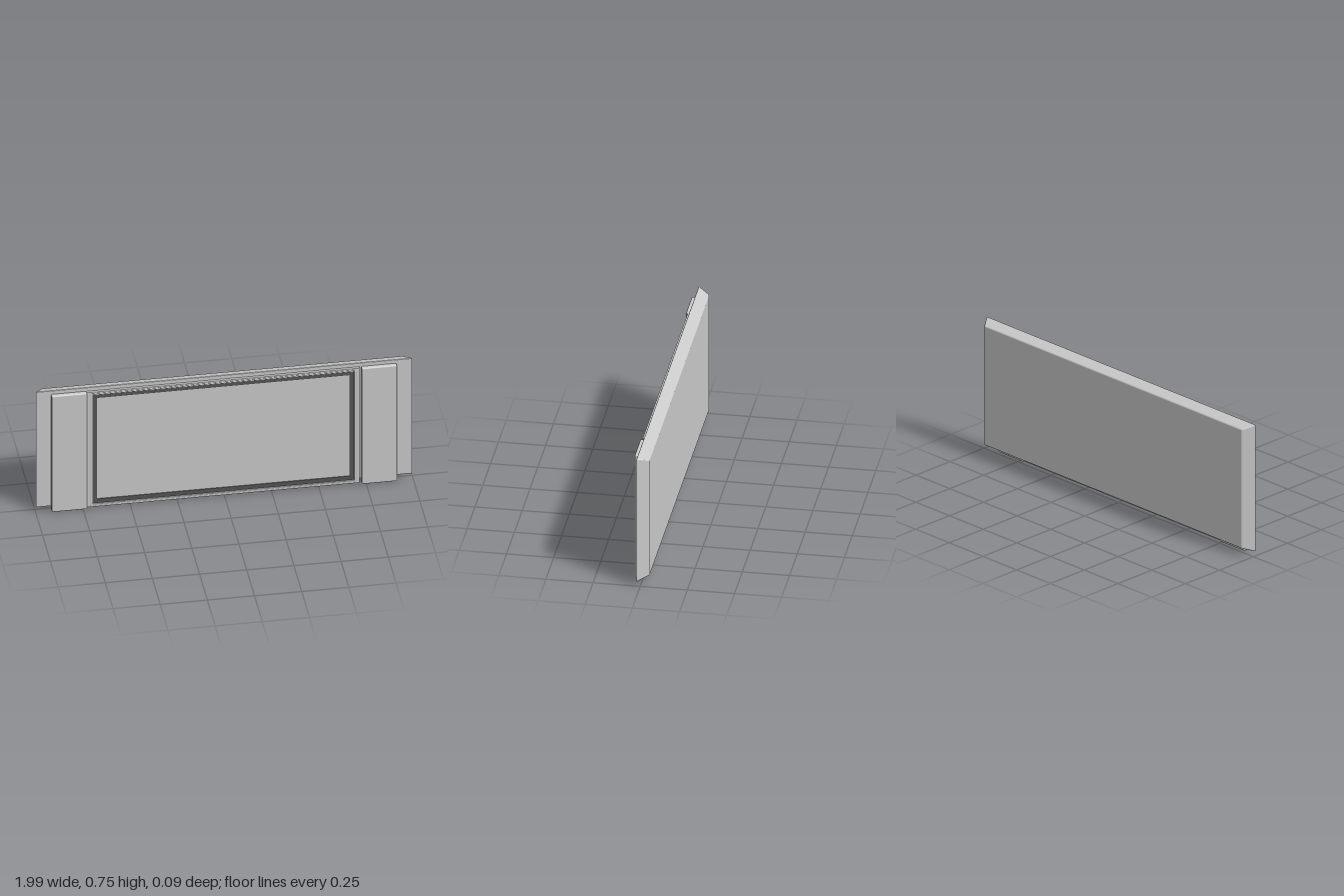
import * as THREE from 'three';
import { RoundedBoxGeometry } from 'three/addons/geometries/RoundedBoxGeometry.js';

const grey = new THREE.MeshStandardMaterial({ color: 0xcccccc });
const dark = new THREE.MeshStandardMaterial({ color: 0x555555 });

function add(parent, name, geometry, material, x, y, z) {
  const mesh = new THREE.Mesh(geometry, material);
  mesh.name = name;
  mesh.position.set(x, y, z);
  parent.add(mesh);
  return mesh;
}

// Rounded slab that narrows towards its back, with normals bent to match
function taperedSlab(w, h, d, radius, backX, backY) {
  const geo = new RoundedBoxGeometry(w, h, d, 4, radius);
  const p = geo.attributes.position, n = geo.attributes.normal;
  const dx = (1 - backX) / d, dy = (1 - backY) / d;
  const v = new THREE.Vector3();
  for (let i = 0; i < p.count; i++) {
    const x = p.getX(i), y = p.getY(i), z = p.getZ(i);
    const t = d / 2 - z;
    const sx = 1 - dx * t, sy = 1 - dy * t;
    const nx = n.getX(i) / sx, ny = n.getY(i) / sy;
    v.set(nx, ny, n.getZ(i) - x * dx * nx - y * dy * ny).normalize();
    p.setXYZ(i, x * sx, y * sy, z);
    n.setXYZ(i, v.x, v.y, v.z);
  }
  return geo;
}

function rectangle(target, w, h) {
  target.moveTo(-w / 2, -h / 2);
  target.lineTo(w / 2, -h / 2);
  target.lineTo(w / 2, h / 2);
  target.lineTo(-w / 2, h / 2);
  target.closePath();
  return target;
}

// Rectangular ring with bevelled edges, from z = 0 to z = depth
function ring(w, h, holeW, holeH, depth, bevel) {
  const shape = rectangle(new THREE.Shape(), w - 2 * bevel, h - 2 * bevel);
  shape.holes.push(rectangle(new THREE.Path(), holeW + 2 * bevel, holeH + 2 * bevel));
  const geo = new THREE.ExtrudeGeometry(shape, {
    depth: depth - 2 * bevel, bevelEnabled: true,
    bevelSize: bevel, bevelThickness: bevel, bevelSegments: 2,
  });
  return geo.translate(0, 0, bevel);
}

export function createModel() {
  const model = new THREE.Group();
  model.name = 'flatScreenDisplay';

  // Back housing with sloped sides
  add(model, 'backHousing', taperedSlab(2, 0.724, 0.064, 0.006, 0.955, 0.936), grey, 0, 0.385, -0.011);

  // Side speaker panels
  for (const side of [-1, 1]) {
    add(model, side > 0 ? 'leftSpeaker' : 'rightSpeaker',
      new RoundedBoxGeometry(0.187, 0.724, 0.027, 4, 0.006), grey,
      side > 0 ? 0.82 : -0.823, 0.362, 0.0305);
  }

  // Screen assembly: stepped frame, dark bezel and panel
  const screen = new THREE.Group();
  screen.name = 'screen';
  screen.position.set(-0.006, 0.364, 0);
  model.add(screen);
  add(screen, 'outerFrame', ring(1.446, 0.718, 1.41, 0.694, 0.018, 0.003), grey, 0, 0, 0.017);
  add(screen, 'innerFrame', ring(1.414, 0.7, 1.388, 0.679, 0.02, 0.003), grey, 0, 0, 0.017);
  add(screen, 'bezel', ring(1.392, 0.683, 1.338, 0.63, 0.012, 0.003), dark, 0, 0, 0.017);
  add(screen, 'panel', new THREE.BoxGeometry(1.345, 0.637, 0.01), grey, 0, -0.003, 0.02);

  return model;
}
